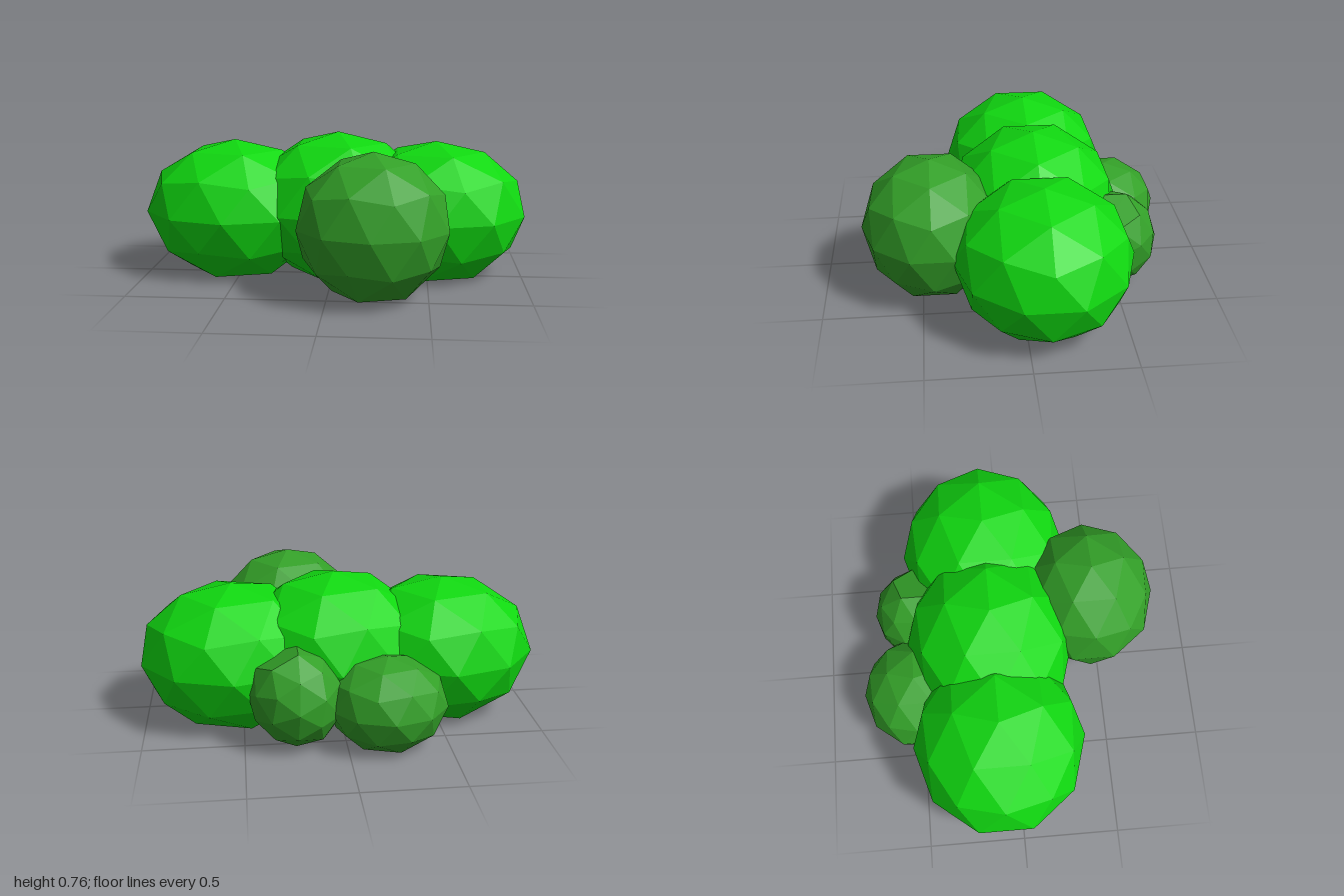
import * as THREE from 'three';

// Faceted ball with a vertex at the top and a flattened underside
function clumpGeometry() {
  const geo = new THREE.IcosahedronGeometry(1, 1);
  geo.rotateZ(-Math.atan(2 / (1 + Math.sqrt(5))));
  const pos = geo.attributes.position;
  for (let i = 0; i < pos.count; i++) {
    if (pos.getY(i) < -0.8) pos.setY(i, -0.89);
  }
  geo.computeVertexNormals();
  return geo;
}

export function createModel() {
  const group = new THREE.Group();
  group.name = 'bush';
  const geo = clumpGeometry();
  const bright = new THREE.MeshStandardMaterial({ color: 0x10d810, flatShading: true });
  const dull = new THREE.MeshStandardMaterial({ color: 0x33a028, flatShading: true });

  // name, material, centre, radii, tilt about z
  const clumps = [
    ['rightClump', bright, [-0.54, 0.334, -0.095], [0.484, 0.376, 0.445], 0],
    ['leftClump', bright, [0.54, 0.334, -0.095], [0.484, 0.376, 0.445], 0],
    ['middleClump', bright, [0.02, 0.356, -0.095], [0.484, 0.4, 0.445], 0],
    ['frontClump', dull, [0.225, 0.36, 0.44], [0.384, 0.367, 0.355], 0],
    ['backRightClump', dull, [-0.2, 0.21, -0.513], [0.3, 0.237, 0.282], 0],
    ['backLeftClump', dull, [0.24, 0.245, -0.48], [0.235, 0.25, 0.235], Math.PI - 0.4],
  ];
  for (const [name, material, centre, radii, tilt] of clumps) {
    const mesh = new THREE.Mesh(geo, material);
    mesh.name = name;
    mesh.position.set(...centre);
    mesh.scale.set(...radii);
    mesh.rotation.z = tilt;
    group.add(mesh);
  }
  return group;
}
